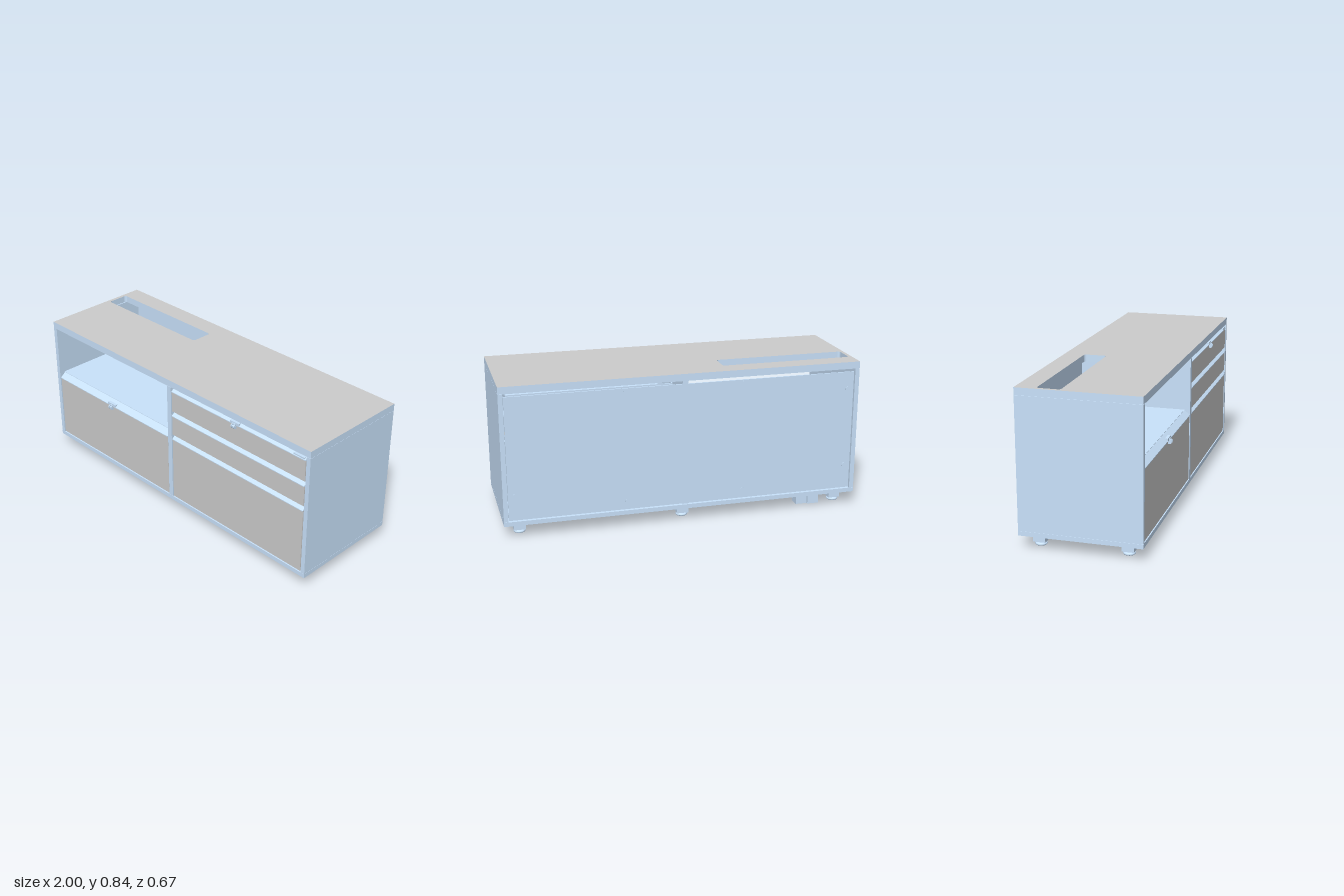
import * as THREE from 'three';

const blue = new THREE.MeshStandardMaterial({ color: 0xc9e2fb });
const grey = new THREE.MeshStandardMaterial({ color: 0xcccccc });
const FRONT = 0.318, BACK = -0.335;

function add(parent, name, geometry, material = blue) {
  const mesh = new THREE.Mesh(geometry, material);
  mesh.name = name;
  parent.add(mesh);
  return mesh;
}

// Box given by its limits on each axis
function block(parent, name, [x0, x1], [y0, y1], [z0, z1], material) {
  const g = new THREE.BoxGeometry(x1 - x0, y1 - y0, z1 - z0);
  g.translate((x0 + x1) / 2, (y0 + y1) / 2, (z0 + z1) / 2);
  return add(parent, name, g, material);
}

// Profile of [z, y] points swept along x
function sweepX(points, x0, x1) {
  const shape = new THREE.Shape(points.map(([z, y]) => new THREE.Vector2(-z, y)));
  const g = new THREE.ExtrudeGeometry(shape, { depth: x1 - x0, bevelEnabled: false });
  return g.rotateY(Math.PI / 2).translate(x0, 0, 0);
}

function roundedHole(x0, x1, y0, y1, r) {
  const p = new THREE.Path();
  p.absarc(x1 - r, y1 - r, r, 0, Math.PI / 2);
  p.absarc(x0 + r, y1 - r, r, Math.PI / 2, Math.PI);
  p.absarc(x0 + r, y0 + r, r, Math.PI, Math.PI * 1.5);
  p.absarc(x1 - r, y0 + r, r, Math.PI * 1.5, Math.PI * 2);
  p.closePath();
  return p;
}

// Drawer with a flat front, a sloping grip lip and an open tray behind
function drawer(parent, name, x0, x1, y0, y1, lipHeight) {
  const g = new THREE.Group();
  g.name = name;
  block(g, 'drawerFront', [x0, x1], [y0, y1], [0.3, 0.315], grey);
  const top = y1 + lipHeight;
  add(g, 'gripLip', sweepX([[FRONT, y1 - 0.002], [FRONT, y1 + 0.002], [0.286, top],
    [0.28, top], [0.28, top - 0.006], [0.3, y1 - 0.002]], x0, x1));
  const a = x0 + 0.02, b = x1 - 0.02, t = 0.008, wall = y1 - 0.02;
  block(g, 'trayFloor', [a, b], [y0 + 0.01, y0 + 0.018], [-0.2, 0.3]);
  block(g, 'traySide', [a, a + t], [y0 + 0.018, wall], [-0.2, 0.3]);
  block(g, 'traySide', [b - t, b], [y0 + 0.018, wall], [-0.2, 0.3]);
  block(g, 'trayBack', [a + t, b - t], [y0 + 0.018, wall], [-0.2, -0.192]);
  parent.add(g);
}

// Hinged lock tab on a drawer lip
function lock(parent, x, y) {
  const g = new THREE.Group();
  g.name = 'lock';
  block(g, 'lockPlate', [x - 0.032, x + 0.032], [y + 0.006, y + 0.022], [0.302, 0.319]);
  for (const side of [-1, 1]) {
    const ear = new THREE.CylinderGeometry(0.013, 0.013, 0.006, 20).rotateZ(Math.PI / 2);
    add(g, 'lockEar', ear.translate(x + side * 0.009, y, 0.322));
  }
  const pin = new THREE.CylinderGeometry(0.005, 0.005, 0.026, 12).rotateZ(Math.PI / 2);
  add(g, 'lockPin', pin.translate(x, y, 0.325));
  block(g, 'lockBody', [x - 0.012, x + 0.012], [y + 0.002, y + 0.016], [0.312, 0.324]);
  parent.add(g);
}

// Square leg with mounting plate and levelling glide
function foot(parent, x, z) {
  const g = new THREE.Group();
  g.name = 'foot';
  block(g, 'mountingPlate', [-0.07, 0.07], [0.069, 0.073], [-0.07, 0.07]);
  block(g, 'legBlock', [-0.0325, 0.0325], [0.022, 0.07], [-0.0325, 0.0325]);
  add(g, 'glideStem', new THREE.CylinderGeometry(0.008, 0.008, 0.014, 16).translate(0, 0.018, 0));
  const profile = [[0, 0], [0.024, 0], [0.03, 0.003], [0.033, 0.008], [0.03, 0.013],
    [0.022, 0.016], [0, 0.017]].map(([r, y]) => new THREE.Vector2(r, y));
  add(g, 'glide', new THREE.LatheGeometry(profile, 28));
  g.position.set(x, 0, z);
  parent.add(g);
}

export function createModel() {
  const model = new THREE.Group();
  model.name = 'sideboard';

  // Top with a cable slot; faces grey, edges blue
  const top = new THREE.Shape([[-1, -FRONT], [1, -FRONT], [1, -BACK], [-1, -BACK]]
    .map(([x, y]) => new THREE.Vector2(x, y)));
  top.holes.push(roundedHole(-0.98, -0.24, 0.1, 0.225, 0.015));
  const topGeometry = new THREE.ExtrudeGeometry(top, { depth: 0.039, bevelEnabled: false, curveSegments: 6 });
  topGeometry.rotateX(-Math.PI / 2).translate(0, 0.804, 0);
  add(model, 'topPanel', topGeometry, [grey, blue]);

  // Carcass
  block(model, 'bottomPanel', [-1, 1], [0.072, 0.096], [BACK, FRONT]);
  for (const s of [-1, 1]) {
    block(model, 'sidePanel', [s * 0.9875 - 0.0125, s * 0.9875 + 0.0125], [0.097, 0.803], [BACK, FRONT]);
  }
  block(model, 'divider', [-0.016, 0.014], [0.097, 0.803], [-0.325, FRONT]);
  block(model, 'backPanel', [-0.972, 0.972], [0.1, 0.785], [-0.326, -0.318]);

  // Back panel screws, mirrored
  for (const s of [-1, 1]) {
    for (const [x, y] of [[0.935, 0.69], [0.935, 0.24], [0.33, 0.77], [0.33, 0.15]]) {
      const screw = new THREE.CylinderGeometry(0.01, 0.01, 0.004, 16).rotateX(Math.PI / 2);
      add(model, 'backScrew', screw.translate(s * x, y, -0.327));
    }
  }

  // Open compartment: shelf bending up into an inner back
  const bend = [], inner = [];
  for (let i = 0; i <= 6; i++) {
    const a = Math.PI / 2 * i / 6;
    inner.push([-0.188 - 0.02 * Math.sin(a), 0.528 - 0.02 * Math.cos(a)]);
    bend.push([-0.188 - 0.028 * Math.sin(a), 0.528 - 0.028 * Math.cos(a)]);
  }
  add(model, 'shelfAndInnerBack', sweepX([[0.285, 0.5], [0.285, 0.508], ...inner,
    [-0.208, 0.74], [-0.216, 0.74], ...bend.reverse()], -0.975, -0.016));

  // Drawers
  drawer(model, 'leftDrawer', -0.97, -0.02, 0.101, 0.478, 0.028);
  drawer(model, 'rightBottomDrawer', 0.018, 0.968, 0.101, 0.478, 0.028);
  drawer(model, 'rightMiddleDrawer', 0.018, 0.968, 0.508, 0.626, 0.028);
  drawer(model, 'rightTopDrawer', 0.018, 0.968, 0.656, 0.778, 0.022);
  lock(model, -0.495, 0.472);
  lock(model, 0.49, 0.77);
  block(model, 'smallTab', [0.89, 0.96], [0.782, 0.79], [0.3, 0.316]);

  // Feet and the cable box underneath
  for (const x of [-0.91, 0, 0.91]) {
    for (const z of [0.222, -0.245]) foot(model, x, z);
  }
  block(model, 'cableBox', [-0.81, -0.675], [0.005, 0.072], [-0.28, -0.22]);
  block(model, 'cableBoxCover', [-0.806, -0.74], [0.005, 0.072], [-0.291, -0.28]);
  return model;
}
